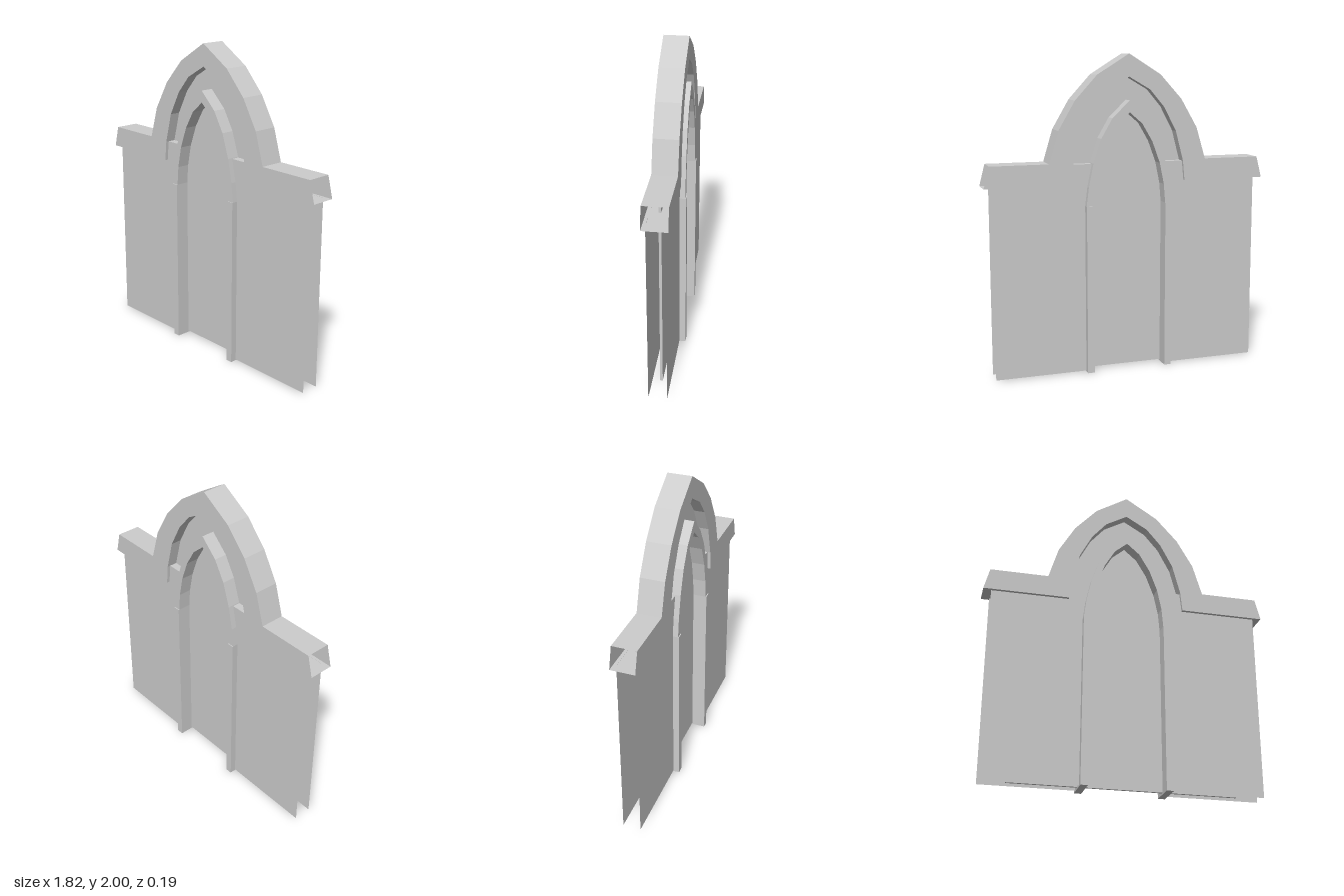
import * as THREE from 'three';

const stone = new THREE.MeshStandardMaterial({ color: 0xcccccc, side: THREE.DoubleSide, flatShading: true });
stone.name = 'stone';

// left half profiles, running up to the centre line
const copingTop = [[-0.875, 1.34], [-0.51, 1.34], [-0.45, 1.54], [-0.345, 1.72], [-0.205, 1.873], [0, 2]];
const copingBottom = [[-0.91, 1.205], [-0.372, 1.205], [-0.36, 1.33], [-0.31, 1.52], [-0.23, 1.672], [-0.138, 1.78], [0, 1.86]];
const frameOuter = [[-0.28, 1.07], [-0.265, 1.19], [-0.235, 1.335], [-0.185, 1.485], [-0.112, 1.61], [0, 1.717]];
const frameInner = [[-0.236, 1.07], [-0.226, 1.19], [-0.198, 1.325], [-0.148, 1.46], [-0.082, 1.572], [0, 1.643]];

// mirror a half profile into a full left-to-right line
const full = (half) => [...half, ...half.slice(0, -1).reverse().map(([x, y]) => [-x, y])];
const shapeOf = (pts) => new THREE.Shape(pts.map(([x, y]) => new THREE.Vector2(x, y)));

function add(group, name, geometry) {
  const mesh = new THREE.Mesh(geometry, stone);
  mesh.name = name;
  group.add(mesh);
  return mesh;
}

// solid slab centred on z = 0
function slab(pts, halfDepth) {
  const g = new THREE.ExtrudeGeometry(shapeOf(pts), { depth: 2 * halfDepth, bevelEnabled: false });
  return g.translate(0, 0, -halfDepth);
}

// strip of quads along a line, facing up when the line runs to +x
function band(pts, d) {
  const v = [];
  for (let i = 0; i < pts.length - 1; i++) {
    const [a, b] = [pts[i], pts[i + 1]];
    v.push(...a, d, ...b, d, ...b, -d, ...a, d, ...b, -d, ...a, -d);
  }
  const g = new THREE.BufferGeometry();
  g.setAttribute('position', new THREE.Float32BufferAttribute(v, 3));
  g.computeVertexNormals();
  return g;
}

export function createModel() {
  const model = new THREE.Group();
  model.name = 'archedDoorWall';

  // hollow coping, open at both ends
  const coping = new THREE.Group();
  coping.name = 'coping';
  const top = full(copingTop), bottom = full(copingBottom), copingDepth = 0.077;
  add(coping, 'copingTop', band(top, copingDepth));
  add(coping, 'copingUnderside', band([...bottom].reverse(), copingDepth));
  const face = shapeOf([...bottom, ...[...top].reverse()]);
  add(coping, 'copingFront', new THREE.ShapeGeometry(face)).position.z = copingDepth;
  const copingBack = add(coping, 'copingBack', new THREE.ShapeGeometry(face));
  copingBack.position.z = -copingDepth;
  copingBack.rotation.y = Math.PI;
  model.add(coping);

  // pointed door frame: legs slightly prouder than the arch
  add(model, 'frameArch', slab([...full(frameOuter), ...full(frameInner).reverse()], 0.091));
  for (const s of [-1, 1]) {
    const leg = new THREE.BoxGeometry(0.044, 1.07, 0.194);
    add(model, s > 0 ? 'frameLegLeft' : 'frameLegRight', leg.translate(s * 0.258, 0.535, 0));
  }

  // thin wall skins beside the frame, front and back, with a ledge on top
  const wall = [[0.26, 0.005], [0.86, 0.005], [0.86, 1.206], [0.372, 1.206], [0.36, 1.33], [0.225, 1.33], [0.26, 1.19]];
  const wallDepth = 0.057;
  for (const s of [-1, 1]) {
    const side = s > 0 ? 'Left' : 'Right';
    for (const z of [1, -1]) {
      const skin = add(model, (z > 0 ? 'wallFront' : 'wallBack') + side,
        new THREE.ShapeGeometry(shapeOf(wall.map(([x, y]) => [x * s * z, y]))));
      skin.position.z = z * wallDepth;
      if (z < 0) skin.rotation.y = Math.PI;
    }
    const ledge = [[0.23 * s, 1.33], [0.362 * s, 1.33]];
    add(model, 'ledge' + side, band(s > 0 ? ledge : ledge.reverse(), wallDepth));
  }

  // recessed core panel filling the door and the arch above it
  const core = full([[-0.7, 0.01], [-0.7, 1.25], [-0.37, 1.25], ...copingBottom.slice(2)]);
  add(model, 'corePanel', slab(core, 0.008));

  return model;
}
